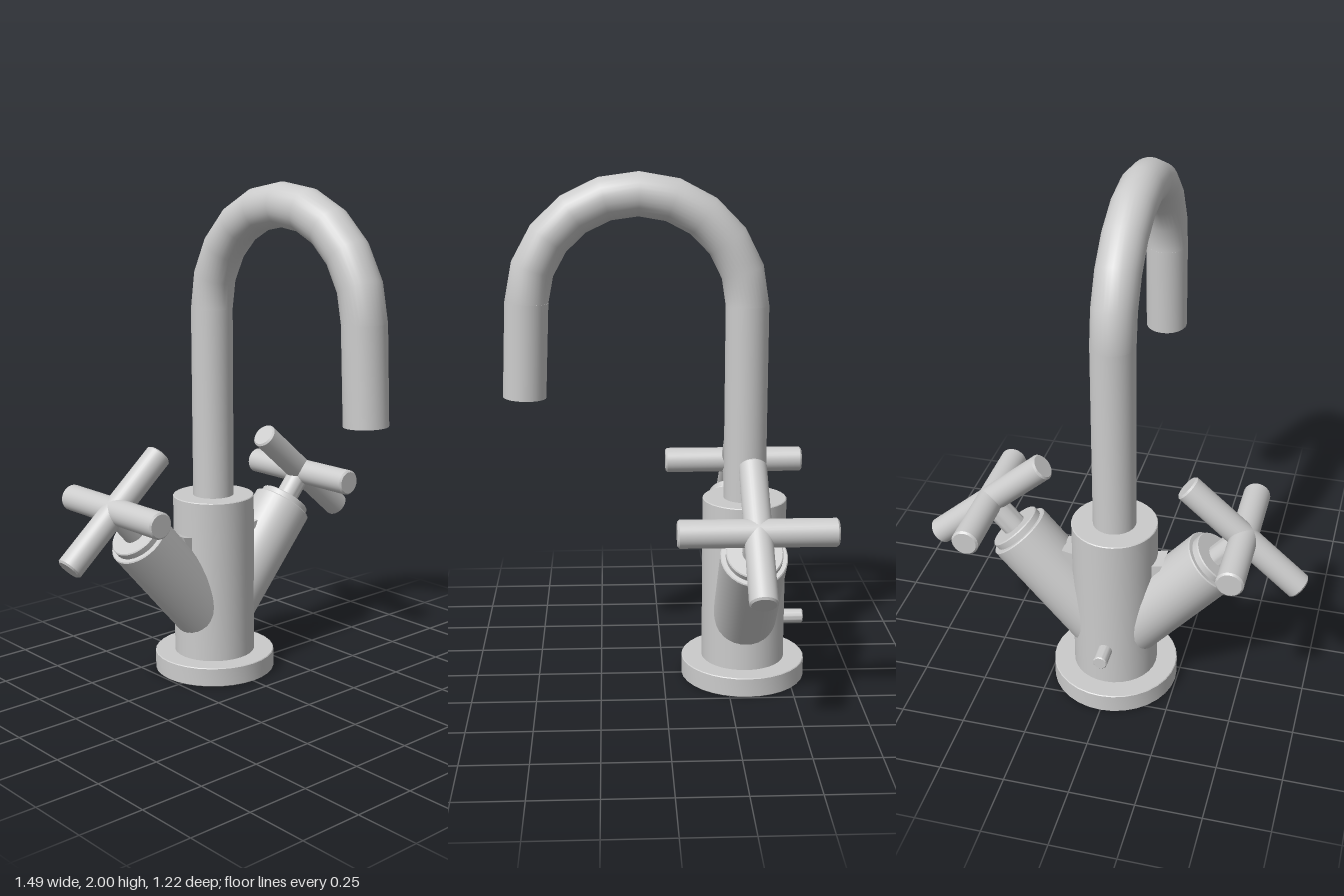
import * as THREE from 'three';
import { toCreasedNormals } from 'three/addons/utils/BufferGeometryUtils.js';

const AXIS_Z = -0.32; // shared vertical axis of base, body and riser
const material = new THREE.MeshStandardMaterial({ color: 0xcccccc });
const vec = (x, y, z) => new THREE.Vector3(x, y, z);

function addMesh(parent, name, geometry) {
  const mesh = new THREE.Mesh(geometry, material);
  mesh.name = name;
  parent.add(mesh);
  return mesh;
}

// Closed round bar between two points, with a small bevel at each end
function rod(parent, name, from, to, radius, bevel = 0.004) {
  const length = from.distanceTo(to);
  const profile = [
    [0, 0], [radius - bevel, 0], [radius, bevel],
    [radius, length - bevel], [radius - bevel, length], [0, length],
  ].map(([x, y]) => new THREE.Vector2(x, y));
  const geometry = toCreasedNormals(new THREE.LatheGeometry(profile, 32), 0.5);
  const mesh = addMesh(parent, name, geometry);
  mesh.position.copy(from);
  mesh.quaternion.setFromUnitVectors(vec(0, 1, 0), to.clone().sub(from).normalize());
  return mesh;
}

// Angled valve arm with collar, stem and cross handle; side is +1 or -1
function createValve(side) {
  const valve = new THREE.Group();
  valve.name = side > 0 ? 'leftValve' : 'rightValve';
  const origin = vec(0, 0.186, AXIS_Z);
  const along = vec(0.655 * side, 0.755, 0).normalize();
  const across = vec(0.755 * side, -0.655, 0).normalize();
  const at = (t) => origin.clone().addScaledVector(along, t);

  rod(valve, 'valveArm', at(0), at(0.587), 0.125);
  rod(valve, 'valveCollar', at(0.57), at(0.615), 0.106);
  rod(valve, 'handleStem', at(0.6), at(0.755), 0.047);

  const hub = at(0.755);
  const bar = (name, dir) => rod(valve, name,
    hub.clone().addScaledVector(dir, -0.29), hub.clone().addScaledVector(dir, 0.29), 0.052, 0.007);
  bar('handleCrossBar', across);
  bar('handleDepthBar', vec(0, 0, 1));

  // Small web filling the crotch between arm and body
  const web = new THREE.Shape([[0.13, 0.43], [0.198, 0.602], [0.13, 0.588]]
    .map(([x, y]) => new THREE.Vector2(x * side, y)));
  const webGeometry = new THREE.ExtrudeGeometry(web, { depth: 0.1, bevelEnabled: false });
  addMesh(valve, 'crotchWeb', webGeometry).position.z = AXIS_Z - 0.05;
  return valve;
}

// Riser, ten-sided half bend and slightly splayed outlet
function createSpout() {
  const spout = new THREE.Group();
  spout.name = 'spout';
  const radius = 0.083, bendRadius = 0.418, bendY = 1.5, bendZ = 0.098;
  const sweep = Math.PI - 0.037;

  rod(spout, 'riser', vec(0, 0.7, AXIS_Z), vec(0, bendY, AXIS_Z), radius, 0);

  const bend = new THREE.TorusGeometry(bendRadius, radius, 32, 10, sweep);
  bend.rotateY(Math.PI / 2);
  addMesh(spout, 'bend', bend).position.set(0, bendY, bendZ);

  const bendEnd = vec(0, bendY + bendRadius * Math.sin(sweep), bendZ - bendRadius * Math.cos(sweep));
  rod(spout, 'outlet', bendEnd, vec(0, 1.15, 0.531), radius, 0);
  return spout;
}

export function createModel() {
  const faucet = new THREE.Group();
  faucet.name = 'faucet';

  rod(faucet, 'baseFlange', vec(0, 0, AXIS_Z), vec(0, 0.078, AXIS_Z), 0.246, 0.003);
  rod(faucet, 'body', vec(0, 0.07, AXIS_Z), vec(0, 0.74, AXIS_Z), 0.165, 0.003);
  rod(faucet, 'rearPin', vec(0, 0.238, AXIS_Z - 0.1), vec(0, 0.238, -0.56), 0.028);

  faucet.add(createSpout());
  for (const side of [1, -1]) faucet.add(createValve(side));
  return faucet;
}
